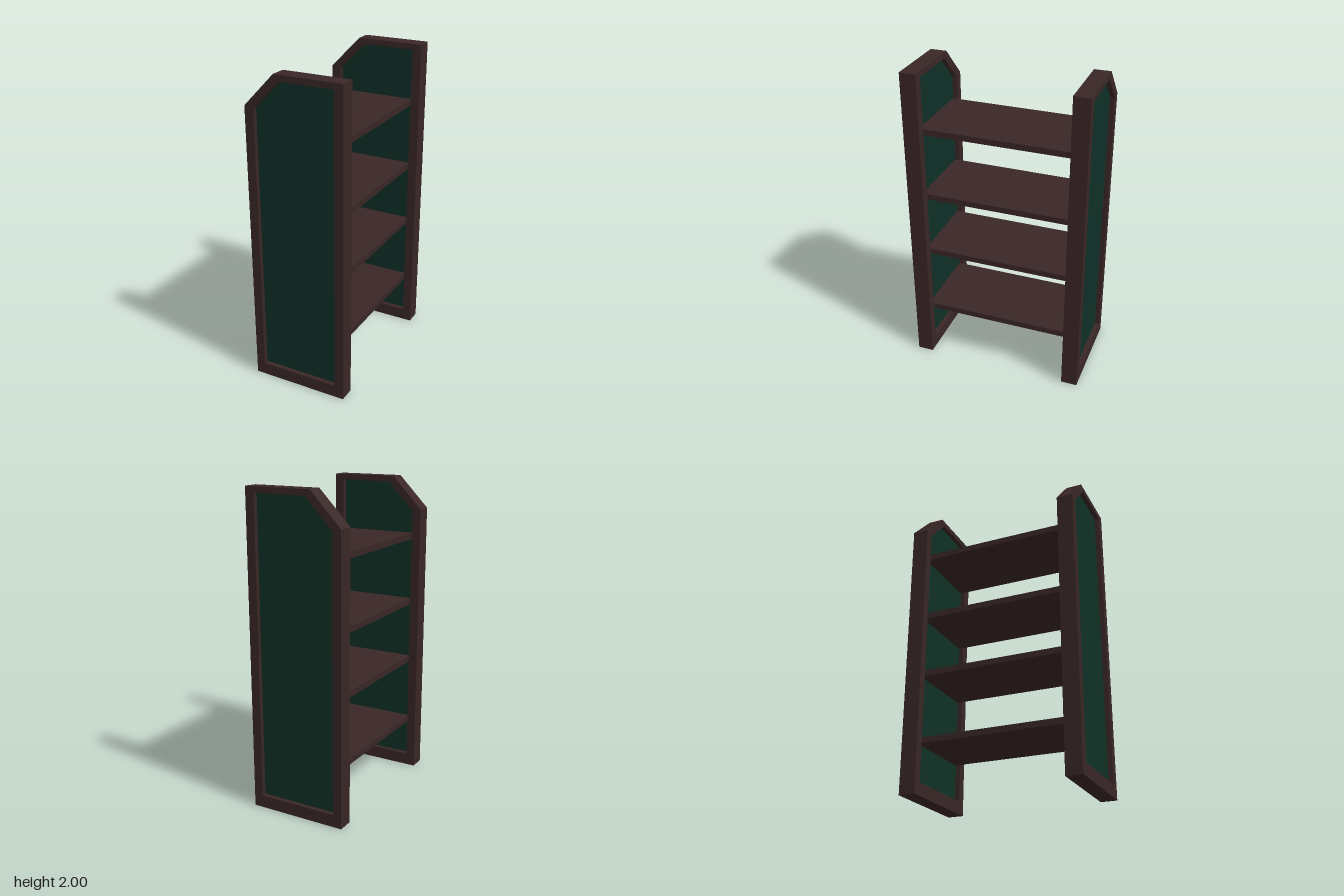
import * as THREE from 'three';

// Upright outline with one clipped top corner (counter-clockwise)
function outline(x, bottom, top, cutX, cutY) {
  return [[-x, bottom], [x, bottom], [x, top], [cutX, top], [-x, cutY]]
    .map(([px, py]) => new THREE.Vector2(px, py));
}

export function createModel() {
  const wood = new THREE.MeshStandardMaterial({ color: 0x3a2626 });
  wood.name = 'dark brown wood';
  const green = new THREE.MeshStandardMaterial({ color: 0x0f3026 });
  green.name = 'dark green panel';

  const model = new THREE.Group();
  model.name = 'shelfUnit';

  const add = (parent, name, geometry, material, y, z) => {
    const mesh = new THREE.Mesh(geometry, material);
    mesh.name = name;
    mesh.position.set(0, y, z);
    parent.add(mesh);
  };

  const depth = 0.103, recess = 0.03;
  const inner = outline(0.256, 0.08, 1.963, -0.083, 1.785);

  // Frame with an opening, and the panel set back from both of its faces
  const frameShape = new THREE.Shape(outline(0.314, 0, 2, -0.117, 1.797));
  frameShape.holes.push(new THREE.Path(inner));
  const frame = new THREE.ExtrudeGeometry(frameShape, { depth, bevelEnabled: false });
  const panel = new THREE.ExtrudeGeometry(new THREE.Shape(inner), {
    depth: depth - 2 * recess, bevelEnabled: false,
  });

  for (const [name, z] of [['frontUpright', 0.462], ['backUpright', -0.565]]) {
    const upright = new THREE.Group();
    upright.name = name;
    upright.position.z = z;
    add(upright, 'frame', frame, wood, 0, 0);
    add(upright, 'insetPanel', panel, green, 0, recess);
    model.add(upright);
  }

  // Shelves reach into the recesses as far as the panels
  const shelf = new THREE.BoxGeometry(0.502, 0.038, 2 * (0.462 + recess));
  [0.34, 0.777, 1.179, 1.618].forEach((y, i) => add(model, `shelf${i + 1}`, shelf, wood, y, 0));

  return model;
}
